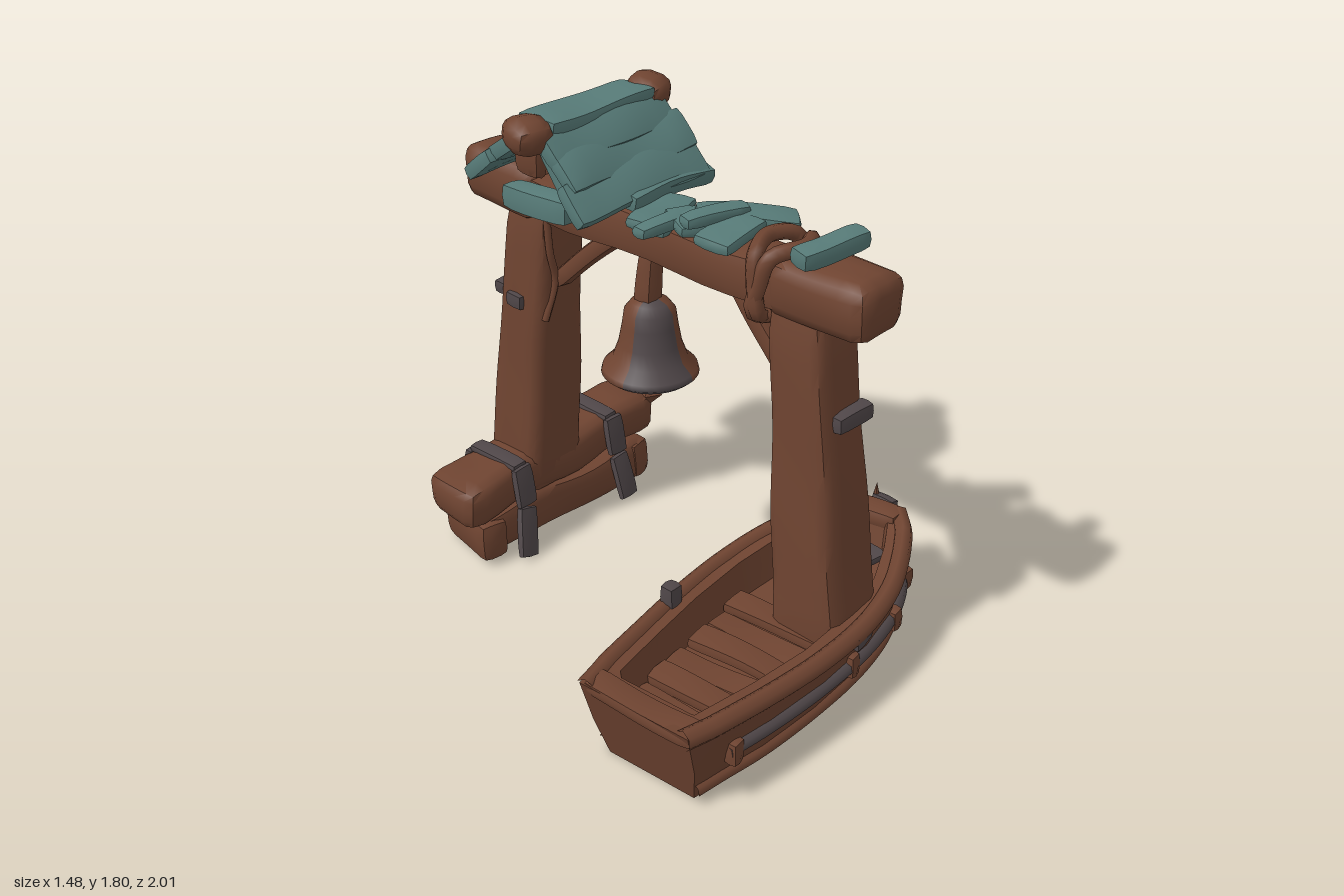
import * as THREE from 'three';
import { mergeVertices, toCreasedNormals } from 'three/addons/utils/BufferGeometryUtils.js';

const mat = (name, color) => {
  const m = new THREE.MeshStandardMaterial({ color });
  m.name = name;
  return m;
};

export function createModel() {
  const wood = mat('weathered wood', 0x6f4431);
  const teal = mat('verdigris', 0x577b78);
  const iron = mat('dark iron', 0x504749);
  const V = (x, y, z) => new THREE.Vector3(x, y, z);
  let seed = 1;

  const add = (parent, name, geo, material, pos = [0, 0, 0], rot = [0, 0, 0]) => {
    const m = new THREE.Mesh(geo, material);
    m.name = name;
    m.position.set(...pos);
    m.rotation.set(...rot);
    parent.add(m);
    return m;
  };

  // Hand-hewn block: rounded edges, slight waviness, optional taper and lean along y
  function block(w, h, d, { r = 0.03, top = 1, lean = 0, wob = 0.006 } = {}) {
    const seg = (s) => Math.min(14, Math.max(2, Math.ceil(s / 0.05)));
    let g = new THREE.BoxGeometry(w, h, d, seg(w), seg(h), seg(d));
    g.deleteAttribute('uv');
    g.deleteAttribute('normal');
    g = mergeVertices(g);
    const k = seed++ * 1.7, p = g.attributes.position, v = V(0, 0, 0), c = V(0, 0, 0);
    const rr = Math.min(r, w / 2, h / 2, d / 2);
    const half = V(w / 2 - rr, h / 2 - rr, d / 2 - rr);
    for (let i = 0; i < p.count; i++) {
      v.fromBufferAttribute(p, i);
      c.copy(v).clamp(half.clone().negate(), half);
      v.sub(c);
      if (v.length() > rr) v.setLength(rr);
      v.add(c);
      const t = v.y / h + 0.5, s = 1 + (top - 1) * t;
      const { x, y, z } = v;
      p.setXYZ(i,
        x * s + wob * Math.sin(y * 11 + z * 9 + k),
        y + wob * Math.sin(x * 12 + z * 10 + k * 2),
        z * s + lean * t + wob * Math.sin(y * 10 + x * 13 + k * 3));
    }
    return toCreasedNormals(g, 0.8);
  }

  // Block stretched between two points
  function strut(parent, name, material, a, b, w, d, opt) {
    const dir = b.clone().sub(a);
    const m = add(parent, name, block(w, dir.length(), d, opt), material);
    m.position.copy(a).add(b).multiplyScalar(0.5);
    m.quaternion.setFromUnitVectors(V(0, 1, 0), dir.normalize());
    return m;
  }

  const tube = (parent, name, material, pts, r, closed = false) =>
    add(parent, name, new THREE.TubeGeometry(new THREE.CatmullRomCurve3(pts, closed), 40, r, 7, closed), material);

  const model = new THREE.Group();
  model.name = 'bellGate';

  // ---- Gate: crossbeam along local z ----
  const gate = new THREE.Group();
  gate.name = 'gate';
  gate.position.set(0.035, 0, -0.075);
  gate.rotation.y = 0.213;
  model.add(gate);

  add(gate, 'crossbeam', block(0.19, 0.155, 1.7), wood, [0, 1.39, 0]);
  add(gate, 'beamFrontEnd', block(0.24, 0.19, 0.4, { r: 0.05 }), wood, [0.015, 1.4, 0.685]);
  add(gate, 'beamBackEnd', block(0.22, 0.2, 0.36, { r: 0.05 }), wood, [0, 1.405, -0.7]);

  // Posts lean inward and taper upward
  add(gate, 'frontPost', block(0.28, 1.2, 0.275, { r: 0.045, top: 0.72, lean: -0.122, wob: 0.003 }), wood, [0.01, 0.74, 0.732]);
  add(gate, 'backPost', block(0.27, 1.16, 0.265, { r: 0.045, top: 0.75, lean: 0.115, wob: 0.003 }), wood, [0.006, 0.76, -0.685]);

  // Diagonal braces
  strut(gate, 'frontBrace', wood, V(0, 1.07, 0.54), V(0, 1.42, 0.27), 0.08, 0.075);
  strut(gate, 'backBrace', wood, V(0, 1.07, -0.5), V(0, 1.35, -0.17), 0.08, 0.07);

  // Iron plates on the posts
  add(gate, 'frontPostPlate', block(0.17, 0.06, 0.06, { r: 0.015 }), iron, [0.03, 0.985, 0.765], [0, -0.1, 0.03]);
  add(gate, 'backPostPlate', block(0.14, 0.055, 0.06, { r: 0.015 }), iron, [-0.02, 0.99, -0.74]);
  add(gate, 'backPostCleat', block(0.05, 0.06, 0.08, { r: 0.015 }), iron, [-0.1, 0.98, -0.62]);

  // Rope lashings round the beam
  [[0.47, 0.03], [0.53, -0.05]].forEach(([z, skew]) => tube(gate, 'ropeLashing', wood, [
    V(-0.115, 1.31, z + skew), V(-0.12, 1.41, z + skew / 2), V(-0.1, 1.5, z), V(0, 1.52, z - skew),
    V(0.1, 1.5, z), V(0.12, 1.41, z + skew / 2), V(0.115, 1.31, z + skew), V(0, 1.29, z)], 0.027, true));
  tube(gate, 'hangingRope', wood,
    [V(-0.08, 1.34, -0.475), V(-0.07, 1.2, -0.475), V(-0.04, 1.08, -0.485), V(-0.08, 0.93, -0.5)], 0.014);

  // ---- Bell ----
  const bell = new THREE.Group();
  bell.name = 'bell';
  bell.position.set(-0.035, 0, -0.03);
  gate.add(bell);
  const prof = [[0.15, 0.875], [0.168, 0.89], [0.163, 0.91], [0.128, 0.945], [0.108, 1.0], [0.095, 1.07],
    [0.088, 1.12], [0.065, 1.15], [0.03, 1.165]].map(([x, y]) => new THREE.Vector2(x, y));
  // Shell sectors: patches of bare iron between browned metal
  [[-1.4, 0.2, iron], [0.2, 2.5, wood], [2.5, 3.2, iron], [3.2, Math.PI * 2 - 1.4, wood]].forEach(([a, b, m]) =>
    add(bell, 'bellShell', new THREE.LatheGeometry(prof, Math.ceil((b - a) * 5), a, b - a), m));
  const inner = prof.map((p) => new THREE.Vector2(p.x === 0.15 ? 0.15 : p.x - 0.015, p.y - 0.004)).reverse();
  add(bell, 'bellLining', new THREE.LatheGeometry(inner, 28), teal);
  add(bell, 'bellStem', block(0.085, 0.22, 0.085, { r: 0.03, top: 0.75 }), wood, [0, 1.24, 0]);
  add(bell, 'clapper', new THREE.OctahedronGeometry(0.045), wood, [0, 0.8, 0], [0, 0.3, 0]);

  // ---- Small roof: overlapping boards on two slopes ----
  const roof = new THREE.Group();
  roof.name = 'roof';
  roof.position.set(-0.02, 0, 0);
  gate.add(roof);
  const slope = (name, x, w, z0, y0, z1, y1) => {
    const ang = Math.atan2(y0 - y1, Math.abs(z1 - z0)) * Math.sign(z1 - z0);
    for (let i = 0; i < 3; i++) {
      const t = (i + 0.5) / 3;
      add(roof, name, block(w + i * 0.02, 0.06, 0.155, { r: 0.02, wob: 0.005 }), teal,
        [x + (i % 2) * 0.012, y0 + (y1 - y0) * t, z0 + (z1 - z0) * t], [ang * 0.95, 0, (i - 1) * 0.01]);
    }
  };
  slope('backRoofBoard', 0.01, 0.55, -0.35, 1.74, -0.6, 1.535);
  slope('frontRoofBoard', 0, 0.57, -0.27, 1.74, -0.07, 1.52);
  add(roof, 'ridgeBoard', block(0.48, 0.06, 0.17, { r: 0.02 }), teal, [0, 1.75, -0.32]);
  add(roof, 'ridgePole', block(0.56, 0.07, 0.07), wood, [0, 1.7, -0.32]);
  for (const s of [-1, 1]) {
    add(roof, 'ridgeKnob', block(0.15, 0.115, 0.15, { r: 0.05 }), wood, [s * 0.28 - 0.005, 1.742, -0.31], [0.2, 0.2 * s, 0]);
    add(roof, 'gableStrut', block(0.06, 0.16, 0.12), wood, [s * 0.22, 1.64, -0.36]);
    add(roof, 'gableSill', block(0.09, 0.09, 0.3, { r: 0.02 }), teal, [s * 0.17, 1.455, -0.37]);
    strut(roof, 'gableRafter', teal, V(s * 0.23, 1.5, -0.14), V(s * 0.23, 1.7, -0.28), 0.05, 0.07, { r: 0.02 });
  }
  add(roof, 'frontEaveBoard', block(0.42, 0.07, 0.1, { r: 0.025 }), teal, [0.12, 1.515, -0.08], [0.2, 0.03, -0.06]);

  // Fallen boards lying on the beam: x, y, z, width, depth, turn, tilt
  [[-0.03, 1.48, 0.02, 0.26, 0.15, 0.25, 0.03], [-0.11, 1.495, 0.11, 0.25, 0.07, -0.15, 0.03],
    [-0.02, 1.5, 0.17, 0.2, 0.16, -0.4, 0], [0.085, 1.51, 0.29, 0.34, 0.12, -0.75, -0.05],
    [-0.05, 1.51, 0.33, 0.22, 0.14, 0.1, 0.04], [-0.04, 1.54, 0.25, 0.25, 0.07, -0.3, 0.04],
    [0.01, 1.545, 0.67, 0.28, 0.09, -0.2, 0]].forEach(([x, y, z, w, d, ry, rz], i) =>
    add(gate, 'looseBoard', block(w, i === 6 ? 0.07 : 0.05, d, { r: 0.024 }), teal, [x, y, z], [0.06, ry, rz]));

  // ---- Log footing under the back post ----
  const base = new THREE.Group();
  base.name = 'logFooting';
  base.position.set(-0.055, 0, -0.745);
  base.rotation.y = 0.24;
  model.add(base);
  add(base, 'upperLog', block(1.0, 0.17, 0.25, { r: 0.05, wob: 0.008 }), wood, [0, 0.265, 0]);
  add(base, 'lowerBackLog', block(0.86, 0.17, 0.13, { r: 0.04, wob: 0.008 }), wood, [0.02, 0.1, -0.07], [0, 0.05, 0.03]);
  add(base, 'lowerFrontLog', block(0.88, 0.17, 0.13, { r: 0.04, wob: 0.008 }), wood, [0, 0.1, 0.07], [0, -0.04, -0.03]);
  for (const s of [-1, 1]) {
    add(base, 'footBlock', block(0.12, 0.16, 0.3), wood, [s * 0.37, 0.095, 0], [0, s * 0.2, 0]);
    // Iron strap draped over the logs, splayed at the feet
    const x = s * 0.25, splay = s < 0 ? -0.05 : 0;
    const strapPts = [V(x + splay, 0.01, 0.2), V(x, 0.19, 0.15), V(x, 0.348, 0.12),
      V(x, 0.348, -0.12), V(x, 0.19, -0.15), V(x - 0.02, 0.01, -0.195)];
    for (let i = 0; i < 5; i++)
      strut(base, 'ironStrap', iron, strapPts[i], strapPts[i + 1], i === 2 ? 0.07 : 0.09, 0.035, { r: 0.015, wob: 0.003 });
  }

  // ---- Boat ----
  const boat = new THREE.Group();
  boat.name = 'boat';
  boat.position.set(0, 0, 0.57);
  boat.rotation.y = 0.29;
  model.add(boat);

  // Hull stations: x, half width, rim height, floor height
  const stations = [[-0.7, 0.21, 0.32, 0.315], [-0.59, 0.235, 0.31, 0.305], [-0.57, 0.24, 0.31, 0.16],
    [-0.35, 0.275, 0.295, 0.15], [-0.1, 0.305, 0.285, 0.15], [0.15, 0.31, 0.285, 0.15], [0.35, 0.28, 0.3, 0.16],
    [0.5, 0.225, 0.32, 0.18], [0.6, 0.175, 0.335, 0.2], [0.62, 0.163, 0.34, 0.33], [0.69, 0.1, 0.35, 0.345]];
  const rake = (x, y, rim) => x + (1 - y / rim) * (x < -0.55 ? 0.09 : x > 0.55 ? -0.03 : 0);
  const verts = [], faces = [], N = 10;
  stations.forEach(([x, w, rim, floor]) => {
    const inW = Math.max(w - 0.085, 0.02);
    const side = [[w, rim], [w * 0.95, 0.15], [w * 0.8, 0.005]];
    const well = [[inW, rim], [inW * 0.9, floor]];
    const loop = [...side, ...side.map(([z, y]) => [-z, y]).reverse(),
      ...well.map(([z, y]) => [-z, y]), ...[...well].reverse()];
    loop.forEach(([z, y]) => verts.push(rake(x, y, rim), y, z));
  });
  for (let s = 0; s < stations.length - 1; s++)
    for (let i = 0; i < N; i++) {
      const a = s * N + i, b = s * N + (i + 1) % N;
      faces.push(a, b, a + N, b, b + N, a + N);
    }
  const last = (stations.length - 1) * N;
  for (let k = 1; k < N - 1; k++) faces.push(0, k + 1, k, last, last + k, last + k + 1);
  const hull = new THREE.BufferGeometry();
  hull.setAttribute('position', new THREE.Float32BufferAttribute(verts, 3));
  hull.setIndex(faces);
  add(boat, 'hull', toCreasedNormals(hull, 0.6), wood);

  // Gunwales, rubbing strakes and strake clamps
  for (const s of [-1, 1]) {
    tube(boat, 'gunwale', wood, stations.map(([x, w, rim]) => V(x, rim - 0.015, s * (w - 0.02))), 0.034);
    tube(boat, 'ironStrake', iron, stations.slice(2, 9).map(([x, w, rim]) =>
      V(rake(x, 0.16, rim), 0.165, s * w * 0.945)), 0.027);
    tube(boat, 'lowerStrake', wood, stations.slice(0, 10).map(([x, w, rim]) =>
      V(rake(x, 0.05, rim), 0.05, s * w * 0.83)), 0.028);
    [[-0.5, 0.24], [0.05, 0.295], [0.36, 0.265], [0.58, 0.18]].forEach(([x, z]) =>
      add(boat, 'strakeClamp', block(0.06, 0.09, 0.06, { r: 0.02 }), wood, [x, 0.165, s * z]));
  }
  [[0.345, 0.14], [-0.18, -0.26]].forEach(([x, z]) =>
    add(boat, 'rimCleat', block(0.07, 0.1, 0.06, { r: 0.02 }), iron, [x, 0.315, z]));
  add(boat, 'hullPatch', block(0.1, 0.05, 0.03, { r: 0.01 }), iron, [0.1, 0.255, 0.31]);
  add(boat, 'transomCap', block(0.1, 0.05, 0.42, { r: 0.02 }), wood, [-0.65, 0.3, 0]);
  add(boat, 'bowBlock', block(0.1, 0.07, 0.22, { r: 0.03 }), wood, [0.65, 0.33, 0]);

  // Floor planks across the well
  for (let i = 0; i < 6; i++)
    add(boat, 'floorPlank', block(0.1, 0.04, 0.32 + i * 0.015, { r: 0.01 }), wood,
      [-0.5 + i * 0.115, 0.17 + (i % 2) * 0.015, 0], [0, 0.03 * (i % 3 - 1), 0]);
  add(boat, 'bowPlate', block(0.22, 0.03, 0.2, { r: 0.01 }), iron, [0.48, 0.235, 0], [0, -0.25, 0]);

  // Stem at the bow
  strut(boat, 'ironStem', iron, V(0.67, 0.01, 0), V(0.74, 0.35, 0), 0.055, 0.1, { r: 0.02 });
  add(boat, 'stemSpike', new THREE.ConeGeometry(0.022, 0.09, 6), wood, [0.735, 0.35, -0.04]);

  return model;
}
